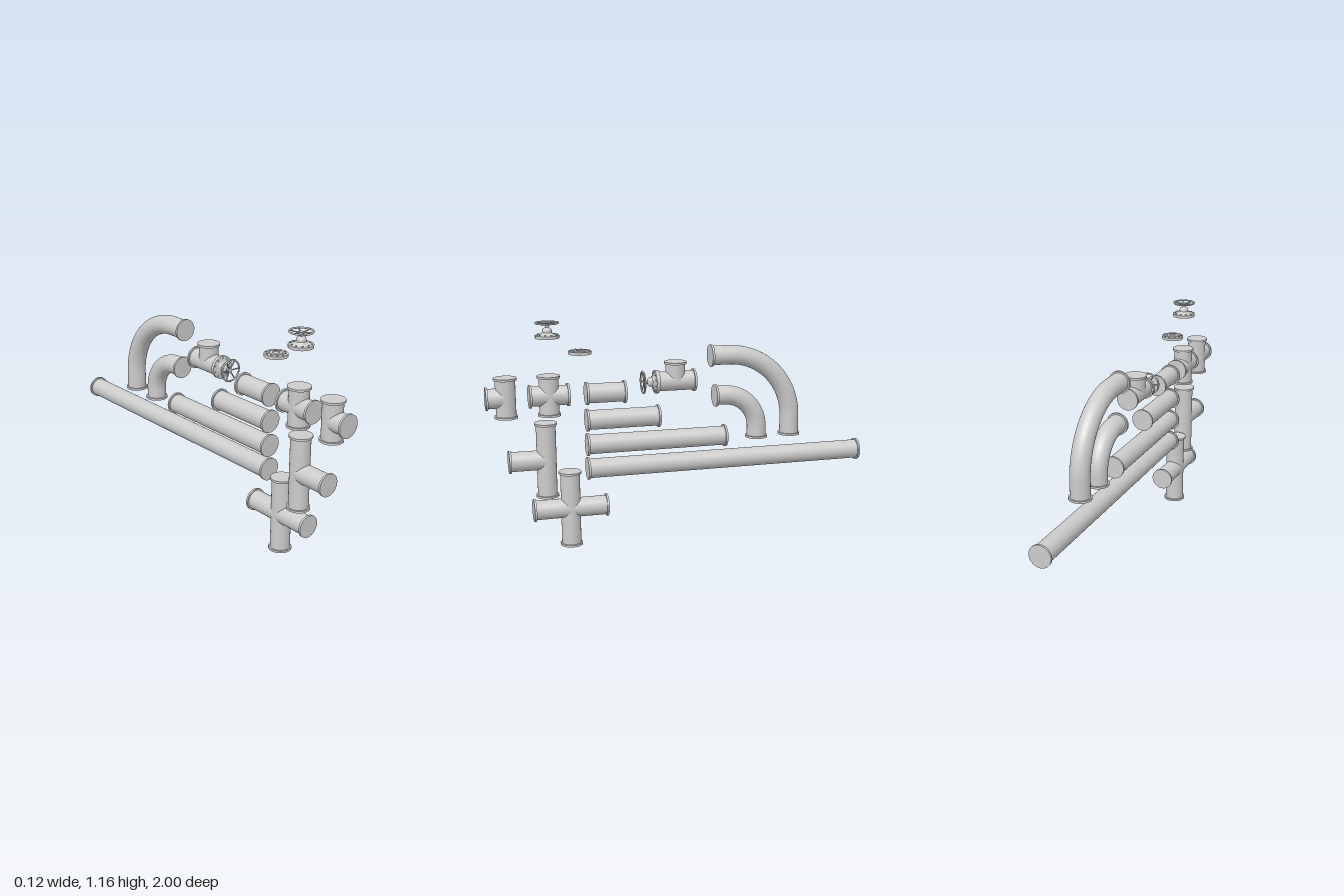
import * as THREE from 'three';
import { toCreasedNormals } from 'three/addons/utils/BufferGeometryUtils.js';

const PIPE_R = 0.05, FLANGE_R = 0.058, FLANGE_T = 0.011, SEG = 40;
const UP = new THREE.Vector3(0, 1, 0);
const material = new THREE.MeshStandardMaterial({ color: 0xcccccc });

function add(parent, geometry, name, x = 0, y = 0, z = 0) {
  const mesh = new THREE.Mesh(geometry, material);
  mesh.name = name;
  mesh.position.set(x, y, z);
  parent.add(mesh);
  return mesh;
}

function group(parent, name) {
  const g = new THREE.Group();
  g.name = name;
  parent.add(g);
  return g;
}

// Closed cylinder between two [z, y] points
function rod(parent, name, a, b, radius) {
  const p = new THREE.Vector3(0, a[1], a[0]), q = new THREE.Vector3(0, b[1], b[0]);
  const dir = q.clone().sub(p);
  const mesh = add(parent, new THREE.CylinderGeometry(radius, radius, dir.length(), SEG), name);
  mesh.position.copy(p).add(q).multiplyScalar(0.5);
  mesh.quaternion.setFromUnitVectors(UP, dir.normalize());
}

// Pipe from a to b with a flange at b, and at a as well when wanted
function pipe(parent, a, b, bothEnds = true) {
  rod(parent, 'pipe', a, b, PIPE_R);
  const len = Math.hypot(b[0] - a[0], b[1] - a[1]);
  const d = [(b[0] - a[0]) / len * FLANGE_T, (b[1] - a[1]) / len * FLANGE_T];
  rod(parent, 'flange', [b[0] - d[0], b[1] - d[1]], b, FLANGE_R);
  if (bothEnds) rod(parent, 'flange', a, [a[0] + d[0], a[1] + d[1]], FLANGE_R);
}

// Quarter bend with a short straight run at each flanged end
function elbow(parent, name, start, end, radius) {
  const g = group(parent, name);
  const cz = end[0] + radius, cy = start[1] - radius;
  const bend = add(g, new THREE.TorusGeometry(radius, PIPE_R, SEG, 40, Math.PI / 2), 'bend', 0, cy, cz);
  bend.rotation.y = Math.PI / 2;
  pipe(g, [cz, start[1]], start, false);
  pipe(g, [end[0], cy], end, false);
}

function lathe(points) {
  const profile = points.map(([r, y]) => new THREE.Vector2(r, y));
  return toCreasedNormals(new THREE.LatheGeometry(profile, SEG), 0.6);
}

function boltRing(parent, count, radius, y) {
  for (let i = 0; i < count; i++) {
    const a = (i + 0.5) / count * Math.PI * 2;
    add(parent, new THREE.CylinderGeometry(0.0045, 0.0045, 0.008, 6), 'bolt',
      radius * Math.cos(a), y, radius * Math.sin(a));
  }
}

// Valve with its base on y = 0 and its handwheel above
function valve(parent, name) {
  const g = group(parent, name);
  add(g, lathe([[0, 0], [0.06, 0], [0.06, 0.015], [0.04, 0.0165], [0.028, 0.024], [0.024, 0.029],
    [0.024, 0.039], [0.021, 0.046], [0.014, 0.051], [0.009, 0.053], [0.009, 0.066],
    [0.012, 0.068], [0.012, 0.074], [0, 0.074]]), 'bonnet');
  boltRing(g, 10, 0.049, 0.016);
  const rim = add(g, new THREE.TorusGeometry(0.0555, 0.0045, 12, 48), 'handwheelRim', 0, 0.075, 0);
  rim.rotation.x = Math.PI / 2;
  for (let i = 0; i < 6; i++) {
    const a = i / 6 * Math.PI * 2, c = Math.cos(a), s = Math.sin(a);
    const path = new THREE.QuadraticBezierCurve3(
      new THREE.Vector3(0.008 * c, 0.07, 0.008 * s),
      new THREE.Vector3(0.03 * c, 0.069, 0.03 * s),
      new THREE.Vector3(0.054 * c, 0.075, 0.054 * s));
    add(g, new THREE.TubeGeometry(path, 8, 0.0035, 8), 'handwheelSpoke');
  }
  return g;
}

export function createModel() {
  const model = new THREE.Group();
  model.name = 'pipeKit';

  // Straight pipes of four lengths: [y, far end z]
  [[0.793, 0.295], [0.655, 0.118], [0.527, -0.242], [0.4, -1]].forEach(([y, z], i) => {
    pipe(group(model, `straightPipe${i + 1}`), [0.5, y], [z, y]);
  });

  // Tees and crosses
  const smallTee = group(model, 'smallTee');
  pipe(smallTee, [0.9, 0.692], [0.9, 0.895]);
  pipe(smallTee, [0.9, 0.793], [1, 0.793], false);

  const smallCross = group(model, 'smallCross');
  pipe(smallCross, [0.685, 0.692], [0.685, 0.895]);
  pipe(smallCross, [0.786, 0.793], [0.584, 0.793]);

  const tallTee = group(model, 'tallTee');
  pipe(tallTee, [0.707, 0.27], [0.707, 0.656]);
  pipe(tallTee, [0.707, 0.463], [0.898, 0.463], false);

  const largeCross = group(model, 'largeCross');
  pipe(largeCross, [0.59, 0], [0.59, 0.393]);
  pipe(largeCross, [0.782, 0.198], [0.397, 0.198]);

  // Tee with a valve on its front end
  const valveTee = group(model, 'valveTee');
  pipe(valveTee, [0.133, 0.835], [-0.072, 0.835]);
  pipe(valveTee, [0.032, 0.835], [0.032, 0.936], false);
  const fitted = valve(valveTee, 'fittedValve');
  fitted.position.set(0, 0.835, 0.127);
  fitted.rotation.x = Math.PI / 2;

  // Bends
  elbow(model, 'smallElbow', [-0.18, 0.745], [-0.415, 0.508], 0.18);
  elbow(model, 'largeElbow', [-0.155, 0.957], [-0.6, 0.512], 0.345);

  // Loose valve and end cap
  valve(model, 'looseValve').position.set(0, 1.083, 0.685);
  const cap = group(model, 'endCap');
  cap.position.set(0, 0.997, 0.524);
  add(cap, lathe([[0, 0], [0.058, 0], [0.058, 0.015], [0.035, 0.0155], [0.032, 0.019],
    [0.018, 0.02], [0.016, 0.017], [0, 0.017]]), 'capPlate');
  boltRing(cap, 10, 0.046, 0.015);

  return model;
}
